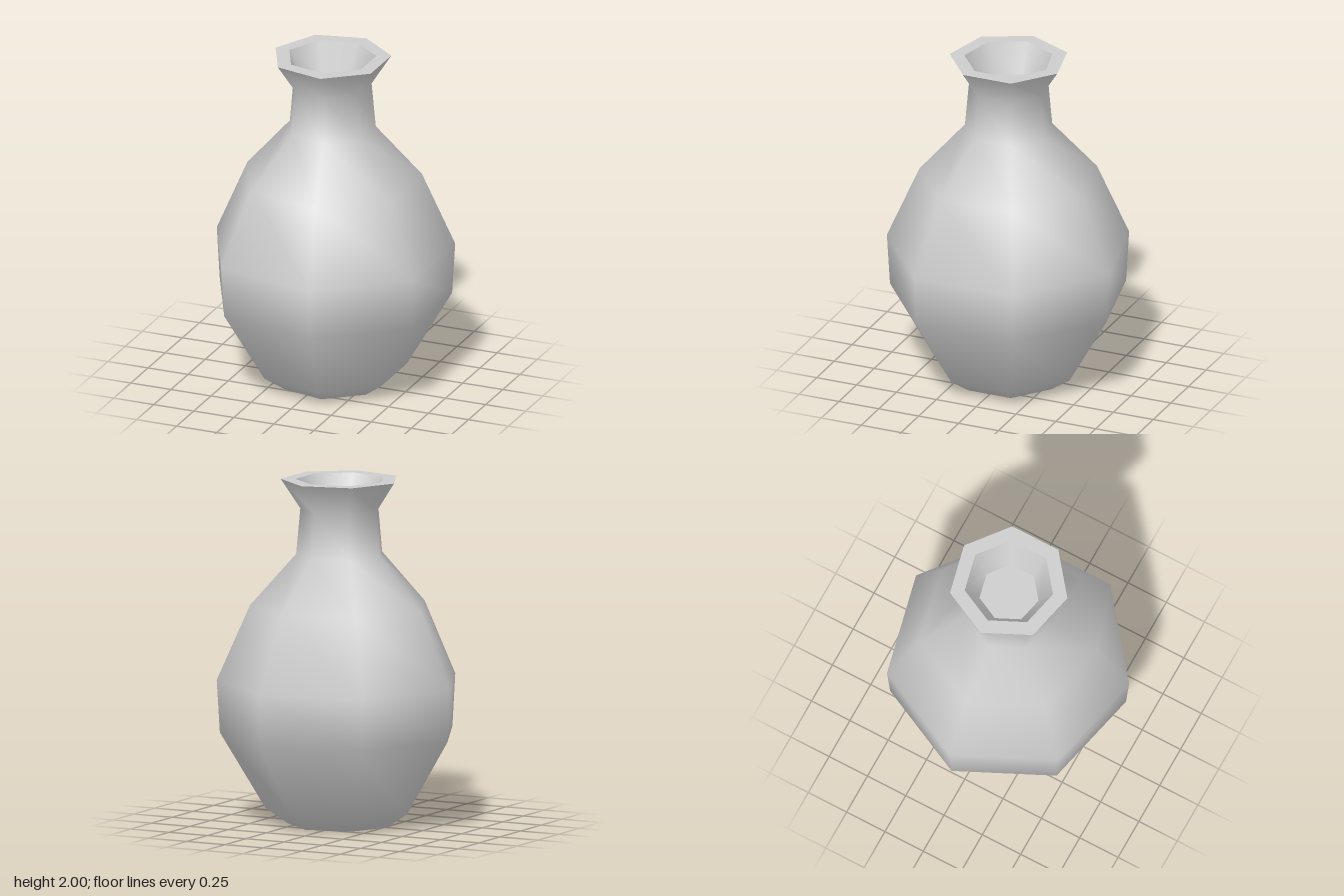
import * as THREE from 'three';

const SIDES = 7;

export function createModel() {
  const vase = new THREE.Group();
  vase.name = 'vase';
  const clay = new THREE.MeshStandardMaterial({ color: 0xcccccc });
  clay.name = 'grey clay';

  // Revolve a [radius, height] profile into a seven-sided surface with a corner at -x
  function turn(name, profile) {
    const points = profile.map(([r, y]) => new THREE.Vector2(r, y));
    const mesh = new THREE.Mesh(new THREE.LatheGeometry(points, SIDES, -Math.PI / 2), clay);
    mesh.name = name;
    mesh.position.x = 0.035; // centres the odd-sided outline on its bounds
    vase.add(mesh);
  }

  // Smooth outer wall, from foot to flared lip
  turn('body', [
    [0.304, 0], [0.434, 0.09], [0.695, 0.525], [0.713, 0.83],
    [0.522, 1.265], [0.257, 1.565], [0.233, 1.83], [0.346, 2],
  ]);
  // Flat faces and the shallow mouth, kept separate for sharp edges
  turn('rim', [[0.346, 2], [0.26, 2]]);
  turn('mouthWall', [[0.26, 2], [0.174, 1.83]]);
  turn('mouthFloor', [[0.174, 1.83], [0, 1.83]]);
  turn('base', [[0, 0], [0.304, 0]]);

  return vase;
}
